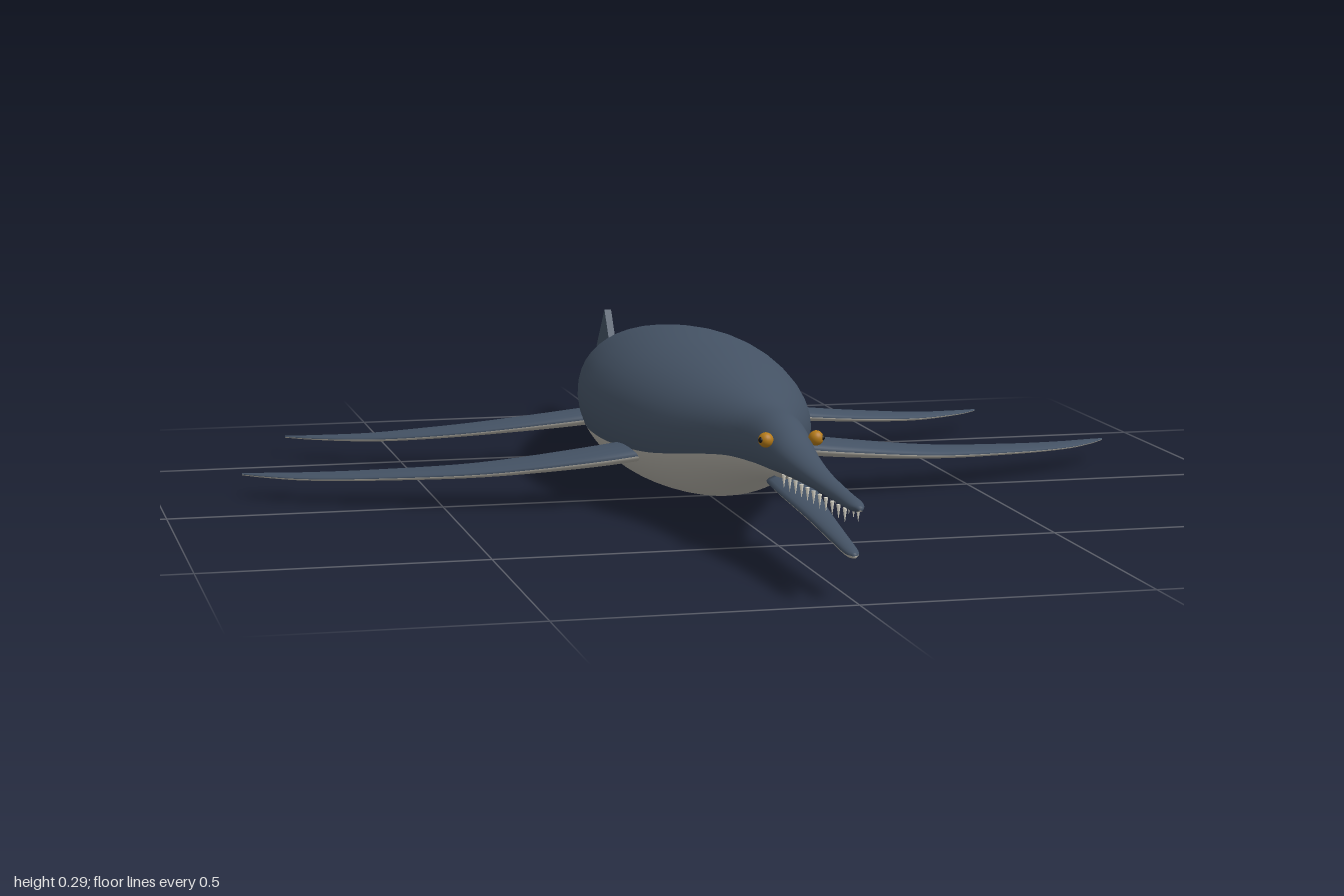
import * as THREE from 'three';

const paint = (name, color, extra = {}) => {
  const m = new THREE.MeshStandardMaterial({ color, ...extra });
  m.name = name;
  return m;
};

// Skin over closed rings; the first half of each ring is group 0, the rest group 1
function loft(rings) {
  const n = rings[0].length, pos = [], halves = [[], []];
  rings.forEach(r => r.forEach(p => pos.push(...p)));
  for (let i = 0; i < rings.length - 1; i++) {
    for (let j = 0; j < n; j++) {
      const a = i * n + j, b = i * n + (j + 1) % n, c = a + n, d = b + n;
      halves[j < n / 2 ? 0 : 1].push(a, b, c, b, d, c);
    }
  }
  // end caps
  [0, rings.length - 1].forEach((row, end) => {
    const mid = [0, 1, 2].map(k => rings[row].reduce((s, p) => s + p[k], 0) / n);
    const m = pos.length / 3;
    pos.push(...mid);
    for (let j = 0; j < n; j++) {
      const a = row * n + j, b = row * n + (j + 1) % n;
      halves[j < n / 2 ? 0 : 1].push(...(end ? [m, a, b] : [m, b, a]));
    }
  });
  const g = new THREE.BufferGeometry();
  g.setAttribute('position', new THREE.Float32BufferAttribute(pos, 3));
  g.setIndex([...halves[0], ...halves[1]]);
  g.addGroup(0, halves[0].length, 0);
  g.addGroup(halves[0].length, halves[1].length, 1);
  g.computeVertexNormals();
  return g;
}

// Smoothly sample a table of [z, half width, top, bottom, colour seam] into rings
function hullRings(rows, steps, n) {
  const curve = (a, b) => new THREE.CatmullRomCurve3(
    rows.map(r => new THREE.Vector3(r[a], r[b], r[0])), false, 'catmullrom', 0.5);
  const outer = curve(1, 2), under = curve(3, 4), rings = [];
  for (let i = 0; i <= steps; i++) {
    const p = outer.getPoint(i / steps), q = under.getPoint(i / steps);
    const cy = (p.y + q.x) / 2, h = (p.y - q.x) / 2;
    const seam = Math.asin(THREE.MathUtils.clamp((q.y - cy) / h, -0.97, 0.97));
    const ring = [];
    for (let j = 0; j < n; j++) {
      const t = j / (n / 2);
      const a = t < 1 ? seam + t * (Math.PI - 2 * seam)
        : Math.PI - seam + (t - 1) * (Math.PI + 2 * seam);
      ring.push([p.x * Math.cos(a), cy + h * Math.sin(a), p.z]);
    }
    rings.push(ring);
  }
  return rings;
}

// Flipper from a table of [x, y, rear edge z, front edge z, half thickness]
function flipperGeometry(rows, side) {
  const curve = (a, b) => new THREE.CatmullRomCurve3(
    rows.map(r => new THREE.Vector3(r[a], r[b], r[0])), false, 'catmullrom', 0.5);
  const edges = curve(2, 3), lift = curve(1, 4), rings = [];
  for (let i = 0; i <= 30; i++) {
    const e = edges.getPoint(i / 30), l = lift.getPoint(i / 30), ring = [];
    for (let j = 0; j < 20; j++) {
      const a = j / 20 * Math.PI * 2;
      ring.push([side * e.z, l.x + l.y * Math.sin(a),
        (e.x + e.y) / 2 - side * (e.y - e.x) / 2 * Math.cos(a)]);
    }
    rings.push(ring);
  }
  return loft(rings);
}

export function createModel() {
  const model = new THREE.Group();
  model.name = 'marineReptile';
  const slate = paint('slateBack', 0x445264);
  const pale = paint('paleBelly', 0xb4b1a8);
  const amber = paint('amberEye', 0xb47a18);
  const black = paint('blackPupil', 0x15161a);
  const ivory = paint('ivoryTooth', 0xe8e4d6);
  const skin = [slate, pale];
  const add = (name, geometry, material, parent = model) => {
    const mesh = new THREE.Mesh(geometry, material);
    mesh.name = name;
    parent.add(mesh);
    return mesh;
  };

  // Body, head and upper jaw in one skin
  add('body', loft(hullRings([
    [-0.95, 0.006, 0.157, 0.147, 0.152],
    [-0.88, 0.02, 0.165, 0.137, 0.15],
    [-0.8, 0.048, 0.184, 0.115, 0.138],
    [-0.7, 0.08, 0.206, 0.085, 0.124],
    [-0.5, 0.143, 0.256, 0.038, 0.108],
    [-0.3, 0.185, 0.284, 0.011, 0.102],
    [-0.15, 0.195, 0.291, 0.004, 0.102],
    [0, 0.184, 0.283, 0.01, 0.106],
    [0.15, 0.153, 0.268, 0.03, 0.115],
    [0.3, 0.1, 0.247, 0.073, 0.136],
    [0.4, 0.07, 0.237, 0.101, 0.148],
    [0.5, 0.053, 0.234, 0.122, 0.152],
    [0.57, 0.043, 0.22, 0.132, 0.152],
    [0.64, 0.034, 0.2, 0.143, 0.152],
    [0.76, 0.023, 0.182, 0.148, 0.152],
    [0.9, 0.016, 0.172, 0.149, 0.15],
    [0.97, 0.014, 0.168, 0.15, 0.15],
    [1, 0.005, 0.162, 0.154, 0.155],
  ], 102, 48)), skin);

  // Lower jaw, hanging open
  add('lowerJaw', loft(hullRings([
    [0.56, 0.038, 0.141, 0.116, 0.126],
    [0.62, 0.034, 0.132, 0.109, 0.119],
    [0.75, 0.023, 0.114, 0.094, 0.103],
    [0.88, 0.016, 0.097, 0.079, 0.087],
    [0.95, 0.012, 0.087, 0.072, 0.079],
    [0.97, 0.004, 0.081, 0.073, 0.077],
  ], 30, 20)), skin);

  // Flippers
  const front = [
    [0.1, 0.105, -0.04, 0.09, 0.018], [0.24, 0.089, -0.03, 0.085, 0.016],
    [0.43, 0.068, -0.058, 0.04, 0.011], [0.61, 0.055, -0.113, -0.034, 0.008],
    [0.73, 0.048, -0.16, -0.098, 0.006], [0.8, 0.046, -0.187, -0.151, 0.004],
    [0.842, 0.044, -0.206, -0.2, 0.002]];
  const rear = [
    [0.1, 0.103, -0.445, -0.35, 0.016], [0.2, 0.092, -0.448, -0.36, 0.015],
    [0.35, 0.075, -0.48, -0.39, 0.011], [0.46, 0.063, -0.512, -0.428, 0.009],
    [0.56, 0.053, -0.543, -0.482, 0.007], [0.66, 0.047, -0.588, -0.553, 0.004],
    [0.712, 0.044, -0.616, -0.608, 0.002]];
  for (const side of [-1, 1]) {
    const label = side > 0 ? 'Left' : 'Right';
    add('frontFlipper' + label, flipperGeometry(front, side), skin);
    add('rearFlipper' + label, flipperGeometry(rear, side), skin);

    // Eyes
    add('eye' + label, new THREE.SphereGeometry(0.013, 20, 14), amber)
      .position.set(side * 0.044, 0.203, 0.578);
    add('pupil' + label, new THREE.SphereGeometry(0.005, 12, 8), black)
      .position.set(side * 0.0535, 0.204, 0.583);

    // Upper teeth
    const teeth = new THREE.Group();
    teeth.name = 'teeth' + label;
    model.add(teeth);
    for (let i = 0; i < 11; i++) {
      const z = 0.63 + i * 0.032;
      const tooth = add('tooth', new THREE.ConeGeometry(0.0038, 0.024, 6), ivory, teeth);
      tooth.rotation.x = Math.PI;
      tooth.position.set(side * (0.026 - i * 0.0015), 0.14, z);
    }
  }

  // Upright tail fin, drawn in the z-y plane
  const fin = new THREE.Shape([
    [-0.84, 0.165], [-0.895, 0.24], [-1, 0.15], [-0.9, 0.152],
  ].map(([z, y]) => new THREE.Vector2(-z, y)));
  const finGeometry = new THREE.ExtrudeGeometry(fin, { depth: 0.014, bevelEnabled: false });
  finGeometry.translate(0, 0, -0.007).rotateY(Math.PI / 2);
  // taper the fin toward its trailing tip
  const p = finGeometry.attributes.position;
  for (let i = 0; i < p.count; i++) {
    p.setX(i, p.getX(i) * (p.getZ(i) < -0.95 ? 0.3 : 1));
  }
  finGeometry.computeVertexNormals();
  add('tailFin', finGeometry, slate);

  return model;
}
